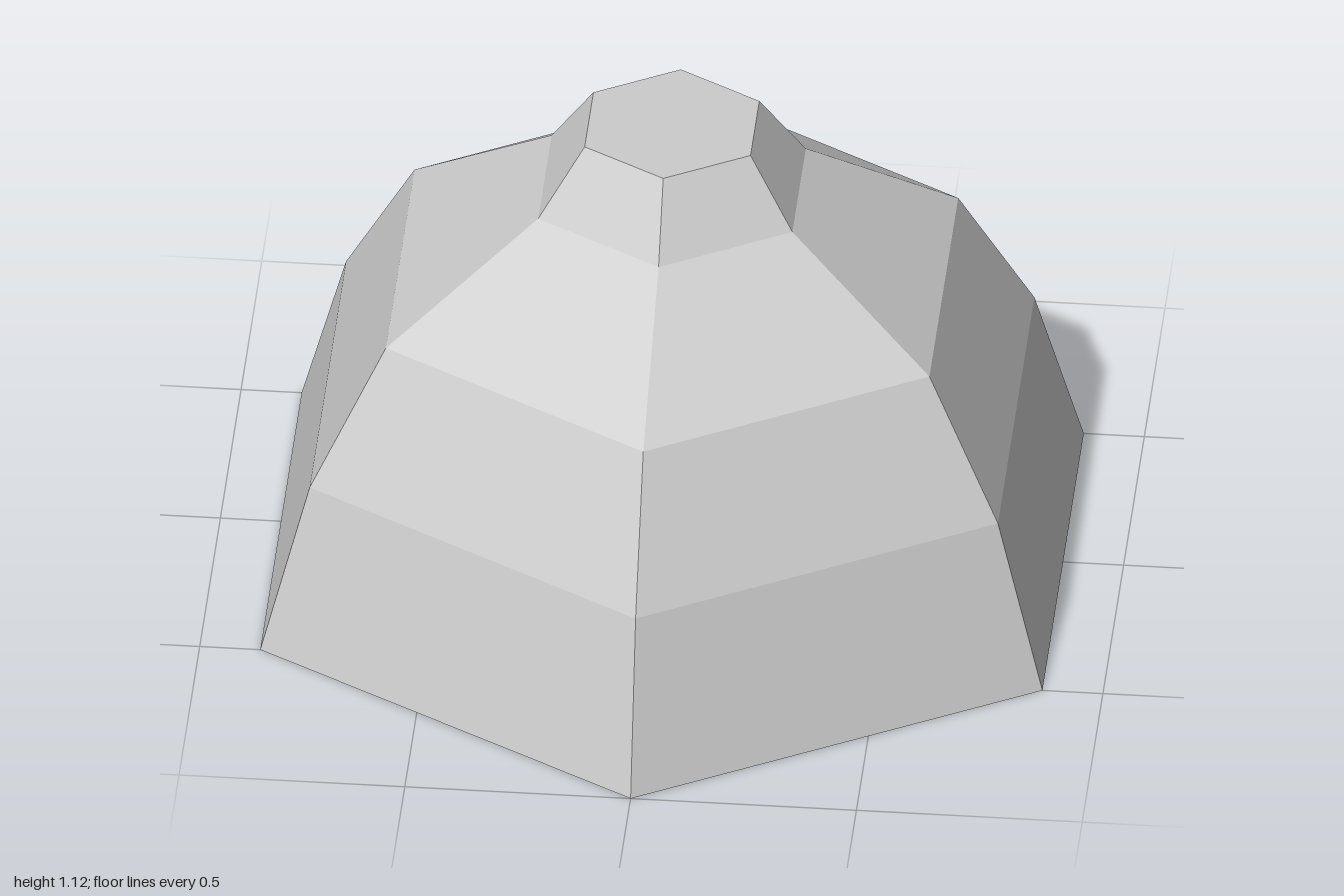
import * as THREE from 'three';

export function createModel() {
  const model = new THREE.Group();
  model.name = 'facetedDome';

  const grey = new THREE.MeshStandardMaterial({ color: 0xcccccc, flatShading: true });
  grey.name = 'light grey';

  // Corner radius and height of each ring, from the base to the flat cap
  const profile = [
    [1, 0],
    [0.88, 0.4],
    [0.695, 0.72],
    [0.325, 0.96],
    [0.212, 1.12],
  ].map(([r, y]) => new THREE.Vector2(r, y));

  // Six-sided shell with corners pointing to the front and back
  const shell = new THREE.Mesh(new THREE.LatheGeometry(profile, 6), grey);
  shell.name = 'domeShell';
  model.add(shell);

  // Hexagonal discs closing the top and the underside
  const addDisc = (name, ring, facing) => {
    const disc = new THREE.Mesh(new THREE.CircleGeometry(ring.x, 6, Math.PI / 2), grey);
    disc.name = name;
    disc.rotation.x = facing * -Math.PI / 2;
    disc.position.y = ring.y;
    model.add(disc);
  };
  addDisc('topCap', profile[profile.length - 1], 1);
  addDisc('baseFloor', profile[0], -1);

  return model;
}
